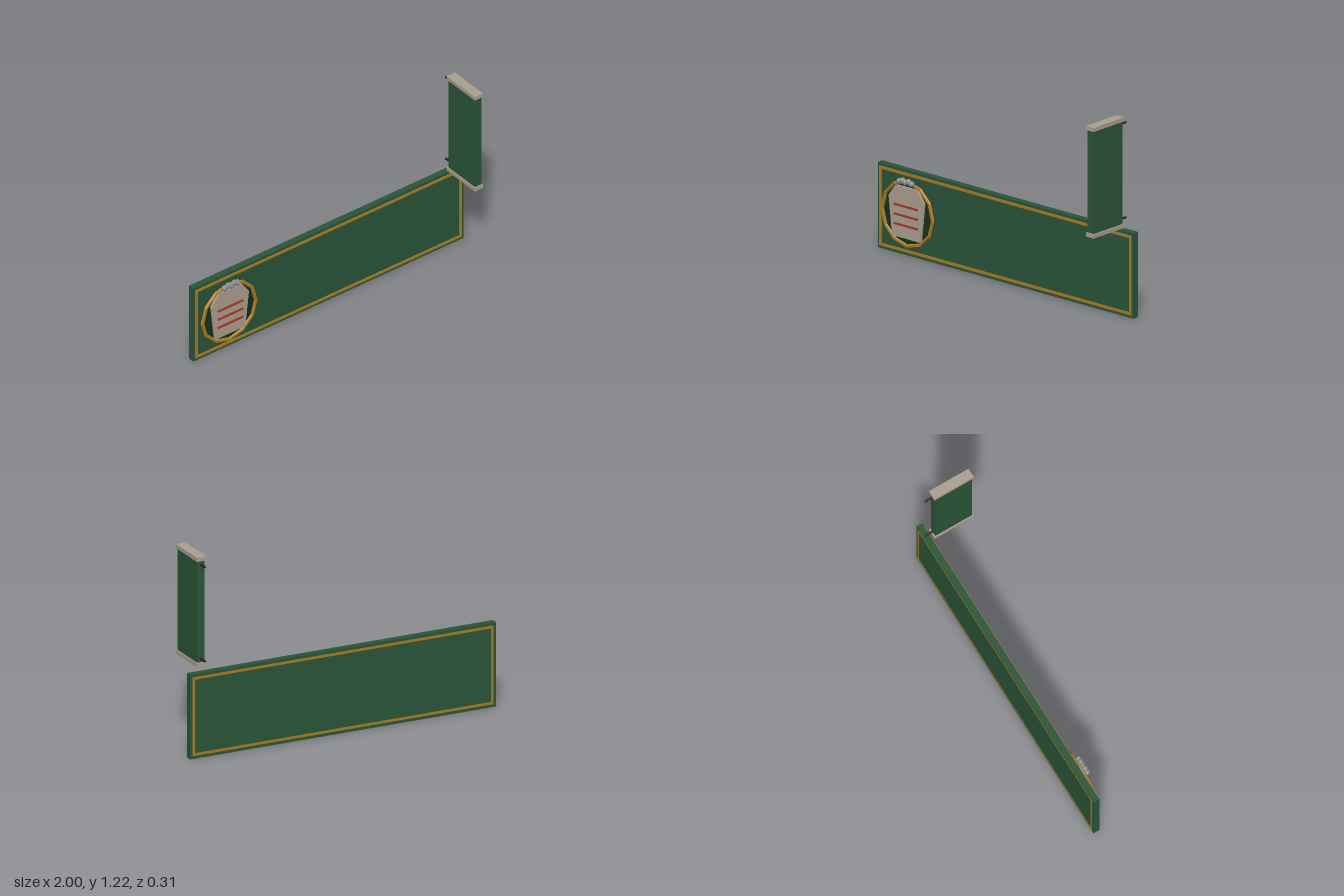
import * as THREE from 'three';

const mat = (color) => new THREE.MeshStandardMaterial({ color, flatShading: true });

export function createModel() {
  const root = new THREE.Group();
  const green = mat(0x2a5539), darkGreen = mat(0x15301f), gold = mat(0xa97c22);
  const stone = mat(0xaba08f), red = mat(0xa8382c), iron = mat(0x222426), silver = mat(0x8c8f92);

  const add = (parent, name, geo, material, x = 0, y = 0, z = 0) => {
    const m = new THREE.Mesh(geo, material);
    m.name = name;
    m.position.set(x, y, z);
    parent.add(m);
    return m;
  };
  const box = (parent, name, material, w, h, d, x, y, z) =>
    add(parent, name, new THREE.BoxGeometry(w, h, d), material, x, y, z);
  const group = (name) => {
    const g = new THREE.Group();
    g.name = name;
    root.add(g);
    return g;
  };

  // Long fascia board with a gold border on both faces
  const fascia = group('fascia');
  box(fascia, 'board', green, 2, 0.524, 0.04, 0, 0.262, -0.135);
  for (const [side, z] of [['front', -0.1125], ['back', -0.1545]]) {
    const d = side === 'front' ? 0.007 : 0.004;
    for (const s of [-1, 1]) {
      box(fascia, side + 'BorderRail', gold, 1.97, 0.016, d, 0, 0.262 + s * 0.236, z);
      box(fascia, side + 'BorderStile', gold, 0.016, 0.456, d, s * 0.977, 0.262, z);
    }
  }

  // Round emblem: dark disc, twelve-sided ring, tankard with stripes and foam
  const emblem = group('emblem');
  emblem.position.set(-0.75, 0.262, 0);
  const disc = add(emblem, 'disc', new THREE.CylinderGeometry(0.2, 0.2, 0.018, 12), darkGreen, 0, 0, -0.106);
  disc.rotation.set(Math.PI / 2, Math.PI / 2, 0);
  add(emblem, 'ring', new THREE.TorusGeometry(0.197, 0.012, 6, 12), gold, 0, 0, -0.096);

  const outline = [[-0.112, -0.15], [0.112, -0.15], [0.139, 0.091], [0.086, 0.166], [-0.086, 0.166], [-0.139, 0.091]];
  const shape = new THREE.Shape(outline.map(([x, y]) => new THREE.Vector2(x, y)));
  add(emblem, 'tankard', new THREE.ExtrudeGeometry(shape, { depth: 0.016, bevelEnabled: false }), stone, 0, 0, -0.1);
  for (const y of [0.048, -0.011, -0.07]) box(emblem, 'stripe', red, 0.186, 0.012, 0.008, 0, y, -0.081);
  for (let i = -2; i <= 2; i++) {
    add(emblem, 'foamBead', new THREE.SphereGeometry(0.019, 7, 5), silver,
      i * 0.024, i % 2 ? 0.206 : 0.198, -0.077);
  }

  // Projecting blade sign with caps and wall brackets
  const blade = group('bladeSign');
  blade.position.x = 0.902;
  box(blade, 'panel', green, 0.047, 0.63, 0.25, 0, 0.884, 0.025);
  for (const [capY, rodY] of [[1.211, 1.176], [0.557, 0.592]]) {
    box(blade, 'cap', stone, 0.06, 0.025, 0.268, 0, capY, 0.024);
    const rod = add(blade, 'bracketRod', new THREE.CylinderGeometry(0.007, 0.007, 0.06, 8), iron, 0, rodY, -0.126);
    rod.rotation.x = Math.PI / 2;
  }
  return root;
}
